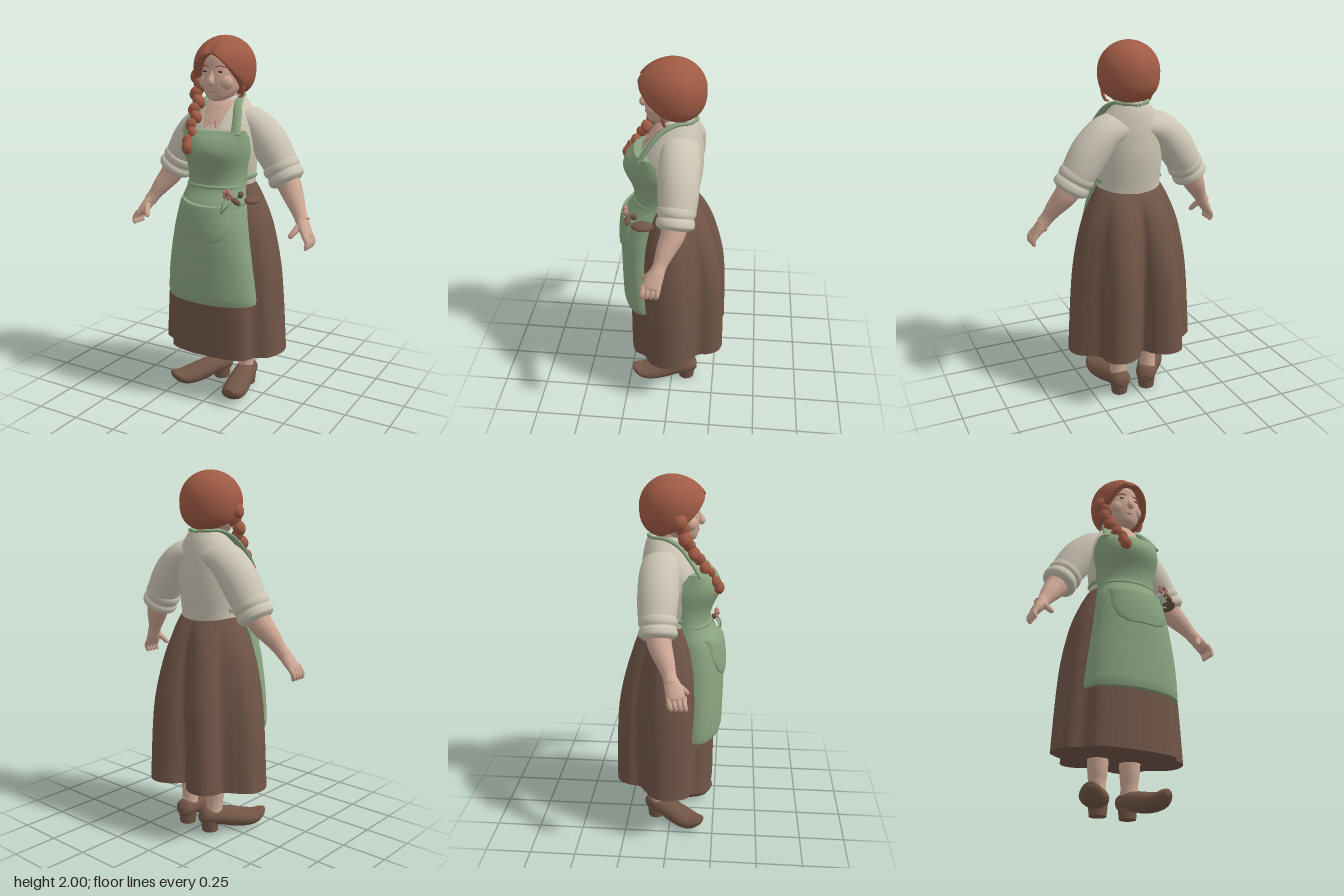
import * as THREE from 'three';

const V = (x, y, z) => new THREE.Vector3(x, y, z);
const paint = (name, color) => Object.assign(new THREE.MeshStandardMaterial({ color }), { name });

// Smooth lookup in a table whose first column is the key
function at(rows, key) {
  let i = 0;
  while (i < rows.length - 2 && key > rows[i + 1][0]) i++;
  const b = rows[i], c = rows[i + 1], a = rows[i - 1] || b, d = rows[i + 2] || c;
  const f = Math.min(1, Math.max(0, (key - b[0]) / (c[0] - b[0])));
  return b.map((_, k) => b[k] + 0.5 * f * (c[k] - a[k] + f * (2 * a[k] - 5 * b[k] + 4 * c[k] - d[k]
    + f * (3 * (b[k] - c[k]) + d[k] - a[k]))));
}

// Closed skin over a list of equal rings, with capped ends, wound outwards
function loft(rings) {
  const n = rings[0].length, m = rings.length, pos = [], idx = [];
  rings.flat().forEach(p => pos.push(p.x, p.y, p.z));
  for (let j = 0; j < m - 1; j++) for (let i = 0; i < n; i++) {
    const a = j * n + i, b = j * n + (i + 1) % n;
    idx.push(a, b, a + n, b, b + n, a + n);
  }
  [rings[0], rings[m - 1]].forEach((ring, end) => {
    const s = pos.length / 3, c = ring.reduce((q, p) => q.add(p), V(0, 0, 0)).divideScalar(n);
    [...ring, c].forEach(p => pos.push(p.x, p.y, p.z));
    for (let i = 0; i < n; i++) {
      const a = s + i, b = s + (i + 1) % n;
      end ? idx.push(a, b, s + n) : idx.push(b, a, s + n);
    }
  });
  const P = i => V(pos[3 * i], pos[3 * i + 1], pos[3 * i + 2]);
  let vol = 0;
  for (let i = 0; i < idx.length; i += 3) vol += P(idx[i]).dot(P(idx[i + 1]).cross(P(idx[i + 2])));
  if (vol < 0) idx.reverse();
  const g = new THREE.BufferGeometry();
  g.setAttribute('position', new THREE.Float32BufferAttribute(pos, 3));
  g.setIndex(idx);
  g.computeVertexNormals();
  return g;
}

// Rounded limb through points [x, y, z, radius, second radius]
function limb(pts, ref = V(0, 0.3, 1), steps = 24, sides = 20) {
  const rows = pts.map((p, i) => [i, p[0], p[1], p[2], p[3], p[4] ?? p[3]]), last = pts.length - 1, rings = [];
  for (let j = 0; j <= steps; j++) {
    const t = last * j / steps, r = at(rows, t), e = 0.02;
    const p = at(rows, Math.max(0, t - e)), q = at(rows, Math.min(last, t + e));
    const T = V(q[1] - p[1], q[2] - p[2], q[3] - p[3]).normalize();
    const A = ref.clone().cross(T).normalize(), B = T.clone().cross(A);
    rings.push(Array.from({ length: sides }, (_, i) => {
      const w = i / sides * Math.PI * 2;
      return V(r[1], r[2], r[3]).addScaledVector(A, Math.cos(w) * r[4]).addScaledVector(B, Math.sin(w) * r[5]);
    }));
  }
  return loft(rings);
}

// Upright body of ellipses from rows [y, half width, front z, back z]
function body(rows, steps = 36, sides = 48) {
  const lo = rows[0][0], hi = rows[rows.length - 1][0];
  return loft(Array.from({ length: steps + 1 }, (_, j) => {
    const [y, w, f, b] = at(rows, lo + (hi - lo) * j / steps);
    return Array.from({ length: sides }, (_, i) => {
      const a = i / sides * Math.PI * 2;
      return V(w * Math.cos(a), y, (f + b) / 2 + (f - b) / 2 * Math.sin(a));
    });
  }));
}
const frontZ = (rows, x, y) => {
  const [, w, f, b] = at(rows, y);
  return (f + b) / 2 + (f - b) / 2 * Math.sqrt(Math.max(0, 1 - (x / w) ** 2));
};

// Sheet with thickness towards -z; f(u, v) with u in -1..1 and v in 0..1
function sheet(f, thick, nu = 32, nv = 32) {
  return loft(Array.from({ length: nv + 1 }, (_, j) => {
    const row = Array.from({ length: nu + 1 }, (_, i) => f(2 * i / nu - 1, j / nv));
    return [...row, ...row.map(p => V(p.x, p.y, p.z - thick)).reverse()];
  }));
}

const TORSO = [[1.19, .18, .13, -.13], [1.25, .176, .15, -.138], [1.35, .188, .19, -.153], [1.43, .195, .215, -.16],
  [1.52, .19, .165, -.158], [1.58, .17, .125, -.152], [1.64, .125, .085, -.14], [1.685, .085, .05, -.122]];
const HEAD = [[1.665, .02, .115, .06], [1.68, .06, .13, 0], [1.72, .092, .14, -.05], [1.77, .106, .145, -.08],
  [1.83, .108, .14, -.1], [1.9, .1, .13, -.1], [1.95, .06, .08, -.06]];
// y, half width, middle z, edge z
const APRON = [[.59, .265, .275, .145], [.62, .266, .283, .15], [.8, .247, .287, .16], [1, .216, .287, .15], [1.13, .192, .265, .125],
  [1.22, .168, .213, .09], [1.3, .172, .22, .06], [1.41, .19, .266, .06], [1.48, .186, .245, .09], [1.52, .18, .205, .12]];
const apronZ = (x, y) => {
  const [, w, c, e] = at(APRON, y);
  return e + (c - e) * Math.sqrt(Math.max(0, 1 - (x / w) ** 2));
};
// y, half width, front, back, fold depth
const SKIRT = [[.285, .368, .237, .3, 1], [.6, .347, .237, .295, .9], [.8, .325, .232, .28, .75], [1, .282, .21, .235, .55],
  [1.13, .232, .17, .185, .3], [1.22, .185, .14, .125, 0], [1.24, .165, .12, .11, 0]];
const HEM = [[.05, -.26], [.13, -.3], [.2, -.28], [.232, -.225], [.24, -.165], [.3, -.12], [.355, -.07], [.368, .01], [.33, .1],
  [.265, .14], [.225, .2], [.1, .235]];
const SHOE = [[-.07, .025, .06, .1], [-.05, .05, .045, .135], [0, .06, .04, .142], [.06, .062, .028, .135], [.12, .067, .012, .125],
  [.2, .07, .006, .105], [.26, .062, .016, .095], [.3, .043, .045, .103], [.318, .018, .07, .1]];
const HAIRLINE = [[0, 1.905], [.3, 1.893], [.6, 1.85], [.9, 1.795], [1.3, 1.74], [1.6, 1.72], [2.2, 1.69], [Math.PI, 1.685]];

export function createModel() {
  const model = new THREE.Group();
  const skin = paint('skin', 0xcfa996), hair = paint('hair', 0xa05b45), linen = paint('linen', 0xcbc5b4),
    green = paint('apron green', 0x8aa480), brown = paint('skirt brown', 0x705547), leather = paint('shoe brown', 0x725646),
    dark = paint('eye dark', 0x4a362e), rose = paint('rose', 0xb98478);
  const add = (name, geo, mat) => {
    const m = new THREE.Mesh(geo, mat);
    m.name = name;
    model.add(m);
    return m;
  };
  const ball = (name, mat, p, s, tilt = 0) => {
    const m = add(name, new THREE.SphereGeometry(1, 20, 14), mat);
    m.position.set(...p); m.scale.set(...s); m.rotation.z = tilt;
  };

  // Skirt with deep folds at the back and sides
  const half = HEM.map(([x, z]) => V(x, 0, z));
  const outline = new THREE.CatmullRomCurve3([V(0, 0, -.195), ...half, V(0, 0, .237),
    ...half.map(p => V(-p.x, 0, p.z)).reverse()], true).getPoints(130).slice(0, -1);
  add('skirt', loft(Array.from({ length: 41 }, (_, j) => {
    const [y, w, f, b, k] = at(SKIRT, .285 + .955 * j / 40);
    return outline.map(p => {
      const x = p.x / .368, z = p.z / (p.z > 0 ? .237 : .3), l = Math.hypot(x, z), s = k + (1 - k) / l;
      const Z = z * s * (z > 0 ? f : b);
      return V(x * s * w, y - .05 * Z * (1.24 - y), Z);
    });
  })), brown);

  // Blouse, neck and open neckline
  add('blouse', body(TORSO), linen);
  add('neck', limb([[0, 1.58, -.03, .07], [0, 1.66, -.02, .06], [0, 1.76, .01, .055]]), skin);
  add('neckline', sheet((u, v) => {
    const x = u * (.042 + .038 * v), y = 1.545 + .125 * v - .02 * (1 - v) * Math.cos(u * Math.PI * 2);
    return V(x, y, frontZ(TORSO, x, y) + .006);
  }, .02), skin);

  // Apron, pocket, waist seam and neck strap
  add('apron', sheet((u, v) => {
    const y = .59 + .93 * v, [, w, c, e] = at(APRON, y), a = u * Math.PI / 2;
    return V(w * Math.sin(a), y, e + (c - e) * Math.cos(a));
  }, .02, 40, 60), green);
  const POCKET = [[0, .09], [.12, .135], [.45, .16], [.85, .157], [1, .162]];
  add('pocket', sheet((u, v) => {
    const x = u * at(POCKET, v)[1], y = .945 + v * (.19 + .015 * u * u - .01 * u);
    return V(x, y, apronZ(x, y) + .004 + .016 * Math.sqrt(1 - u ** 4) * (.4 + .6 * v));
  }, .02), green);
  add('waistSeam', sheet((u, v) => {
    const x = u * .163, y = 1.215 + .02 * v;
    return V(x, y, apronZ(x, y) + .006 * Math.sin(Math.PI * v));
  }, .01, 32, 6), green);

  for (const s of [1, -1]) {
    const arm = (name, mat, pts, ref, ...n) => add(name, limb(pts.map(([x, ...r]) => [x * s, ...r]), ref, ...n), mat);
    arm('neckStrap', green, [[.15, 1.5, .165, .026, .012], [.135, 1.575, .115, .025, .012], [.108, 1.645, .055, .024, .012],
      [.085, 1.682, -.02, .02, .011], [.058, 1.682, -.09, .018, .01], [0, 1.675, -.118, .018, .01]], V(0, .7, .7));
    arm('apronTie', green, [[.155, 1.265, .08, .014, .008], [.178, 1.268, .02, .013, .008], [.17, 1.268, -.04, .01, .006]], V(1, 0, 0));

    // Sleeve, rolled cuff, forearm and hand
    arm('sleeve', linen, [[.04, 1.575, -.05, .06, .098], [.15, 1.54, -.05, .085, .105], [.235, 1.45, -.05, .101, .107],
      [.3, 1.35, -.05, .095, .1], [.338, 1.28, -.045, .086]]);
    arm('cuff', linen, [[.3, 1.345, -.046, .084], [.308, 1.332, -.046, .098], [.322, 1.31, -.045, .1], [.332, 1.293, -.044, .092],
      [.342, 1.277, -.043, .099], [.355, 1.255, -.041, .097], [.364, 1.24, -.04, .074]], undefined, 36, 28);
    arm('forearm', skin, [[.34, 1.28, -.045, .068], [.38, 1.215, -.03, .062], [.425, 1.15, 0, .049], [.46, 1.095, .022, .037], [.485, 1.06, .035, .037]]);
    const out = V(.8 * s, .6, 0);
    arm('palm', skin, [[.462, 1.095, .022, .03], [.495, 1.04, .045, .044, .029], [.525, .995, .062, .046, .022], [.533, .982, .065, .03, .012]], out);
    for (let i = 0; i < 4; i++) {
      const z = .025 + .025 * i;
      arm('finger', skin, [[.52, 1.005, z, .015], [.543, .968, z + .006, .014], [.54, .942, z + .012, .012], [.532, .932, z + .013, .004]], undefined, 12, 10);
    }
    arm('thumb', skin, [[.485, 1.05, .06, .02], [.465, 1.015, .095, .016], [.45, .99, .112, .013], [.446, .982, .115, .004]], V(1, 0, 0), 12, 12);

    // Leg and clog, the right one turned further out
    const legX = s > 0 ? .098 : .09;
    arm('leg', skin, [[legX, .42, -.055, .062], [legX, .25, -.06, .055], [legX, .17, -.066, .047], [legX, .09, -.07, .047]]);
    const shoe = new THREE.Group();
    shoe.name = 'clog';
    const upper = new THREE.Mesh(loft(Array.from({ length: 33 }, (_, j) => {
      const [z, w, lo, hi] = at(SHOE, -.07 + .388 * j / 32);
      return Array.from({ length: 28 }, (_, i) => {
        const a = i / 28 * Math.PI * 2;
        return V(w * Math.cos(a), (lo + hi) / 2 + (hi - lo) / 2 * Math.sin(a), z);
      });
    })), leather);
    const heel = new THREE.Mesh(new THREE.CylinderGeometry(.052, .045, .065, 24), leather);
    heel.position.set(0, .0325, -.008);
    upper.name = 'clogUpper'; heel.name = 'clogHeel';
    shoe.add(upper, heel);
    shoe.position.set(s > 0 ? .1 : -.078, 0, -.08);
    shoe.rotation.y = s > 0 ? .17 : -.56;
    model.add(shoe);

    // Ears, cheeks, eyes and brows
    ball('ear', skin, [.11 * s, 1.775, .015], [.016, .032, .022]);
    ball('cheek', skin, [.046 * s, 1.763, .098], [.052, .045, .036]);
    ball('eye', dark, [.043 * s, 1.818, frontZ(HEAD, .043, 1.818)], [.017, .005, .004], -.12 * s);
    arm('brow', hair, [[.02, 1.842, .137, .003], [.045, 1.848, .131, .004], [.07, 1.84, .115, .003]], undefined, 10, 8);
  }

  // Face
  add('head', body(HEAD), skin);
  add('nose', limb([[0, 1.825, .132, .008], [0, 1.795, .143, .013], [0, 1.77, .153, .02], [0, 1.756, .149, .017], [0, 1.748, .143, .004]]), skin);
  add('lips', limb([[-.028, 1.716, .128, .003], [0, 1.72, .14, .006], [.028, 1.716, .128, .003]], undefined, 12, 10), rose);

  // Parted hair cap, tucked in along the hairline
  const ring = (t, inset) => Array.from({ length: 72 }, (_, i) => {
    const phi = i / 72 * Math.PI * 2, p = phi > Math.PI ? 2 * Math.PI - phi : phi;
    const low = Math.asin((at(HAIRLINE, p)[1] - 1.84) / .16), lat = low + (Math.PI / 2 - low) * t;
    const d = Math.sin(lat), r = (d < 0 ? (1 - Math.abs(d) ** 2.6) ** (1 / 2.6) : Math.cos(lat)) * inset;
    const front = Math.max(0, Math.cos(p)), part = 1 - .1 * front * Math.exp(-((p / .16) ** 2)) * (1 - t);
    const swell = (1 + .15 * front * (1 - t)) * part;
    return V(Math.sin(phi) * .163 * r, 1.84 + .16 * d, Math.cos(phi) * .17 * r * swell);
  });
  add('hair', loft([ring(0, .74), ring(0, .95), ...Array.from({ length: 24 }, (_, j) => ring(.03 + .969 * j / 23, 1))]), hair);
  add('curl', limb([[.128, 1.77, .04, .012], [.132, 1.73, .04, .009], [.12, 1.695, .035, .008], [.1, 1.685, .03, .004]]), hair);

  // Braid of crossing strands falling over the right shoulder
  const fall = new THREE.CatmullRomCurve3([V(-.13, 1.79, .05), V(-.12, 1.67, .09), V(-.1, 1.57, .16), V(-.085, 1.47, .235)]);
  for (let i = 0; i < 9; i++) {
    const p = fall.getPoint(i / 8), k = i % 2 ? 1 : -1, r = .046 - .002 * i;
    ball('braidStrand', hair, [p.x + .011 * k, p.y, p.z], [r * .78, r * 1.02, r * .85], .6 * k);
  }
  add('braidEnd', limb([[-.085, 1.48, .23, .016], [-.085, 1.465, .24, .021], [-.083, 1.435, .25, .032], [-.08, 1.41, .25, .024], [-.078, 1.4, .246, .004]]), hair);

  // Flowers tucked into the pocket
  const stems = [[.15, 1.2, .235], [.185, 1.175, .225], [.255, 1.165, .14], [.2, 1.205, .19]];
  stems.forEach(([x, y, z]) => add('stem', limb([[.12, 1.1, .255, .005], [(x + .12) / 2, (y + 1.11) / 2, z + .03, .005], [x, y, z, .005]], undefined, 10, 8), green));
  for (let i = 0; i < 5; i++) {
    const a = i * Math.PI * .4;
    ball('petal', rose, [.15 + .016 * Math.cos(a), 1.205 + .016 * Math.sin(a), .24], [.015, .015, .012]);
  }
  ball('flowerHeart', leather, [.15, 1.205, .25], [.009, .009, .007]);
  ball('bud', leather, [.19, 1.17, .225], [.03, .016, .016], -.5);
  ball('bud', leather, [.24, 1.168, .14], [.034, .02, .06], -.25);
  ball('bud', leather, [.2, 1.2, .19], [.014, .02, .018], -.3);
  return model;
}
